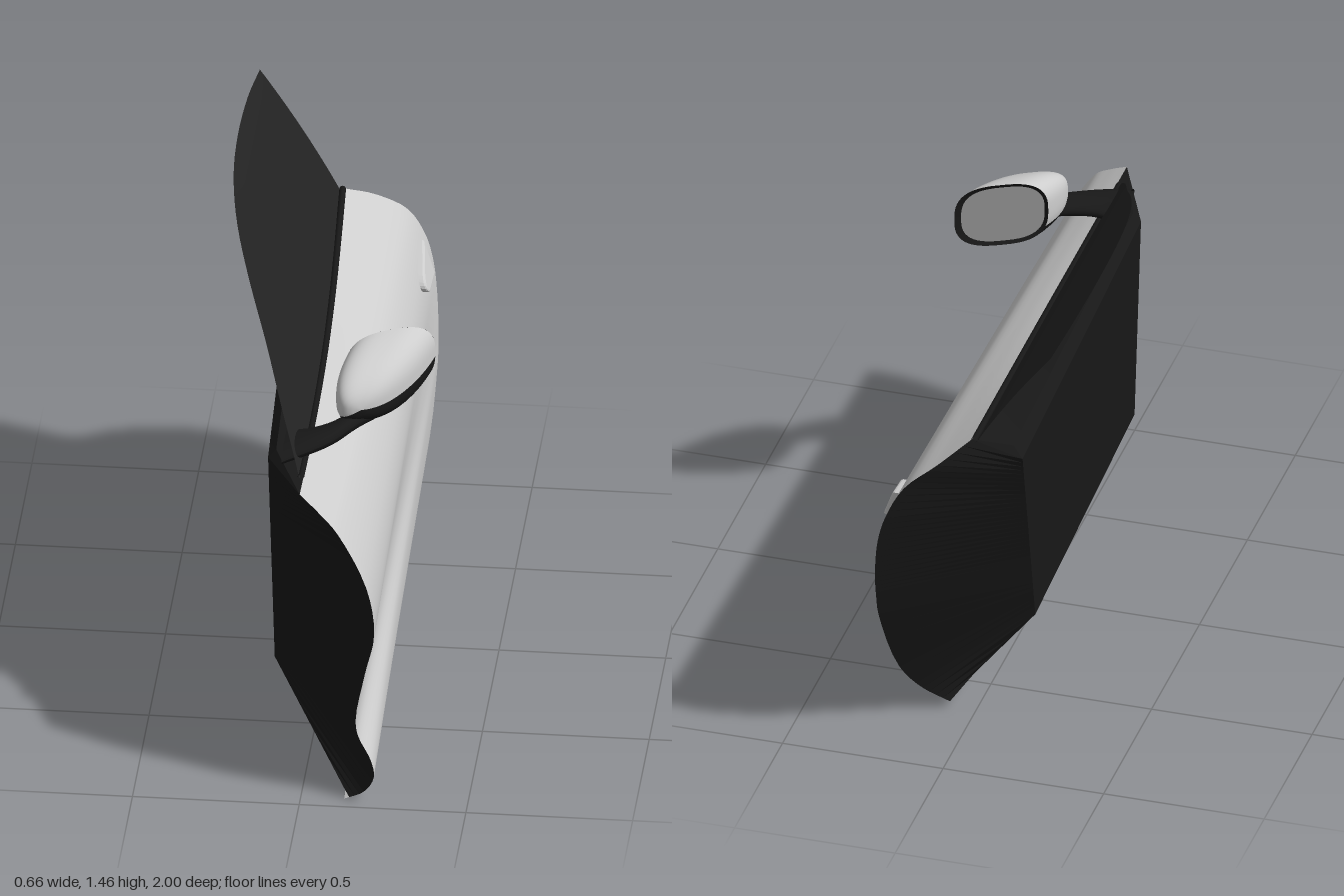
import * as THREE from 'three';

const V = (x, y, z) => new THREE.Vector3(x, y, z);
const lerp = THREE.MathUtils.lerp;
const side = THREE.DoubleSide;
const material = (name, color) => {
  const m = new THREE.MeshStandardMaterial({ color, side });
  m.name = name;
  return m;
};

// Surface from a rule: row i runs up, column j runs right, seen from its front
function grid(rows, cols, point, flat = false) {
  const pos = [], index = [];
  for (let i = 0; i <= rows; i++)
    for (let j = 0; j <= cols; j++) pos.push(...point(i / rows, j / cols).toArray());
  for (let i = 0; i < rows; i++)
    for (let j = 0; j < cols; j++) {
      const a = i * (cols + 1) + j, b = a + 1, d = a + cols + 1, c = d + 1;
      index.push(a, b, c, a, c, d);
    }
  let g = new THREE.BufferGeometry();
  g.setAttribute('position', new THREE.Float32BufferAttribute(pos, 3));
  g.setIndex(index);
  if (flat) g = g.toNonIndexed();
  g.computeVertexNormals();
  return g;
}

export function createModel() {
  const silver = material('silver paint', 0xcdcdcd);
  const black = material('black trim', 0x181818);
  const tint = material('tinted glass', 0x222222);
  const reflector = material('mirror grey', 0x9c9c9c);

  const door = new THREE.Group();
  door.name = 'carDoor';
  const add = (name, geometry, mat, parent = door) => {
    const m = new THREE.Mesh(geometry, mat);
    m.name = name;
    parent.add(m);
    return m;
  };

  // Front and rear edges of the outer skin, bottom to top; matching points
  // are joined by the swept feature lines along the door
  const frontEdge = new THREE.CatmullRomCurve3([
    V(0.13, 0.005, 0.95), V(0.19, 0.04, 0.965), V(0.222, 0.1, 0.98), V(0.212, 0.15, 0.97),
    V(0.172, 0.22, 0.95), V(0.165, 0.28, 0.955), V(0.195, 0.45, 0.98), V(0.225, 0.6, 1.0),
    V(0.2, 0.75, 0.99), V(0.11, 0.91, 0.955), V(0.05, 0.96, 0.92), V(-0.01, 1.0, 0.885)]);
  const rearEdge = new THREE.CatmullRomCurve3([
    V(0.08, 0.025, -0.66), V(0.15, 0.09, -0.71), V(0.2, 0.2, -0.785), V(0.225, 0.46, -0.92),
    V(0.224, 0.54, -0.948), V(0.222, 0.6, -0.965), V(0.216, 0.68, -0.983), V(0.205, 0.765, -0.995),
    V(0.182, 0.85, -0.998), V(0.13, 0.95, -0.975), V(0.04, 1.02, -0.93), V(-0.045, 1.08, -0.85)]);
  const skin = (v, u) => {
    const p = frontEdge.getPoint(v).lerp(rearEdge.getPoint(v), u);
    const bow = Math.sin(Math.PI * u);
    p.y += bow * (0.012 * (1 - v) - 0.03 * v ** 6);
    p.x += bow * 0.015 * v ** 6;
    return p;
  };
  const ROWS = 44;
  add('outerSkin', grid(ROWS, 24, skin), silver);

  // Inner shell: front jamb, flat inner panel, rear jamb and lower chamfer
  const CHAMFER = 4 / ROWS;
  const inner = (v, end) => {
    const low = skin(0, end ? 0.97 : 0.03);
    const bottom = end ? V(-0.15, 0.3, -0.54) : V(-0.11, 0.3, 0.63);
    const top = end ? V(-0.185, 1.0, -0.79) : V(-0.13, 0.98, 0.63);
    return v < CHAMFER ? low.lerp(bottom, v / CHAMFER)
      : bottom.lerp(top, (v - CHAMFER) / (1 - CHAMFER));
  };
  add('innerPanel', grid(ROWS, 3, (v, u) => {
    const j = Math.round(u * 3);
    return j === 0 ? skin(v, 1) : j === 1 ? inner(v, 1) : j === 2 ? inner(v, 0) : skin(v, 0);
  }, true), black);
  add('underside', grid(1, 24, (v, u) => {
    const p = skin(0, u);
    return v ? p : frontEdge.getPoint(0).lerp(rearEdge.getPoint(0), u);
  }, true), black);

  // Ledge closing the top between skin and inner panel
  const innerTop = (u) => {
    const a = inner(1, 0), b = inner(1, 1);
    if (u < 0.15) return skin(1, 0).lerp(a, u / 0.15);
    if (u > 0.95) return b.lerp(skin(1, 1), (u - 0.95) / 0.05);
    return a.lerp(b, (u - 0.15) / 0.8);
  };
  add('topLedge', grid(2, 20, (v, u) => {
    const p = skin(1, u).lerp(innerTop(u), v === 0.5 ? 0.8 : v);
    if (v === 0.5) p.y += 0.025 * Math.min(1, u * 6, (1 - u) * 20);
    return p;
  }, true), black);

  // Belt moulding along the window sill
  const belt = new THREE.CatmullRomCurve3(
    Array.from({ length: 9 }, (_, i) => skin(1, 0.06 + 0.94 * i / 8).add(V(-0.008, 0, 0))));
  add('beltMoulding', new THREE.TubeGeometry(belt, 32, 0.01, 8), black);

  // Curved frameless window
  const windowTop = new THREE.CatmullRomCurve3([
    V(0, 1.0, 0.79), V(0, 1.13, 0.59), V(0, 1.23, 0.4), V(0, 1.335, 0.2), V(0, 1.412, 0),
    V(0, 1.456, -0.22), V(0, 1.469, -0.45), V(0, 1.462, -0.7), V(0, 1.442, -0.905)]);
  add('windowGlass', grid(10, 32, (v, u) => {
    const base = V(0, lerp(0.99, 1.07, u) - 0.02 * Math.sin(Math.PI * u), lerp(0.79, -0.85, u));
    const p = base.lerp(windowTop.getPoint(u), v);
    const h = p.y - 1;
    p.x = -0.02 - 0.53 * h - 0.27 * h * h;
    return p;
  }), tint);

  // Wing mirror: domed housing split into painted cap and black lower shell
  const mirror = new THREE.Group();
  mirror.name = 'wingMirror';
  door.add(mirror);
  const across = V(0.89, 0, -0.45), centre = V(0.205, 1.143, 0.295), depth = V(-0.065, -0.035, 0.25);
  const round = (c) => Math.sign(c) * Math.abs(c) ** 0.72;
  const ring = (angle, scale, forward) => centre.clone()
    .addScaledVector(across, 0.143 * scale * round(Math.cos(angle)))
    .add(V(0, 0.105 * scale * round(Math.sin(angle)), 0))
    .addScaledVector(depth, forward);
  const dome = (from, to) => grid(12, 28, (v, u) => {
    const t = v * Math.PI / 2;
    return ring(Math.PI * lerp(from, to, u), Math.max(0, Math.cos(t)) ** 0.85, Math.sin(t));
  });
  add('mirrorCap', dome(-0.02, 1.13), silver, mirror);
  add('mirrorLowerShell', dome(1.13, 1.98), black, mirror);
  add('mirrorRim', grid(2, 48, (v, u) =>
    ring(-u * Math.PI * 2, 1 - 0.12 * v, 0.04 * v)), black, mirror);
  add('mirrorGlass', grid(1, 48, (v, u) =>
    ring(-u * Math.PI * 2, 0.89 * (1 - v), 0.035)), reflector, mirror);

  // Mirror arm: ellipses lofted from the sill to beneath the housing
  const armPath = new THREE.CatmullRomCurve3([
    V(-0.08, 1.02, 0.63), V(-0.02, 1.03, 0.62), V(0.06, 1.043, 0.575),
    V(0.13, 1.062, 0.5), V(0.22, 1.07, 0.4)]);
  add('mirrorArm', grid(16, 20, (v, u) => {
    const p = armPath.getPoint(v), a = u * Math.PI * 2;
    const width = 0.05 + 0.05 * (1 - v) ** 3;
    return p.add(V(0, Math.sin(a) * 0.028, Math.cos(a) * width));
  }), black, mirror);

  // Pull handle following the slope of the skin
  const shape = new THREE.Shape();
  shape.moveTo(0.755, 0.8);
  shape.lineTo(0.875, 0.795);
  shape.lineTo(0.9, 0.88);
  shape.lineTo(0.78, 0.845);
  shape.quadraticCurveTo(0.715, 0.82, 0.755, 0.8);
  const handle = new THREE.ExtrudeGeometry(shape, {
    depth: 0.02, bevelThickness: 0.006, bevelSize: 0.006, bevelSegments: 2, curveSegments: 8 });
  handle.rotateY(Math.PI / 2);
  const hp = handle.attributes.position;
  for (let i = 0; i < hp.count; i++)
    hp.setX(i, hp.getX(i) + 0.177 - 0.38 * (hp.getY(i) - 0.84));
  handle.computeVertexNormals();
  add('doorHandle', handle, silver);

  return door;
}
